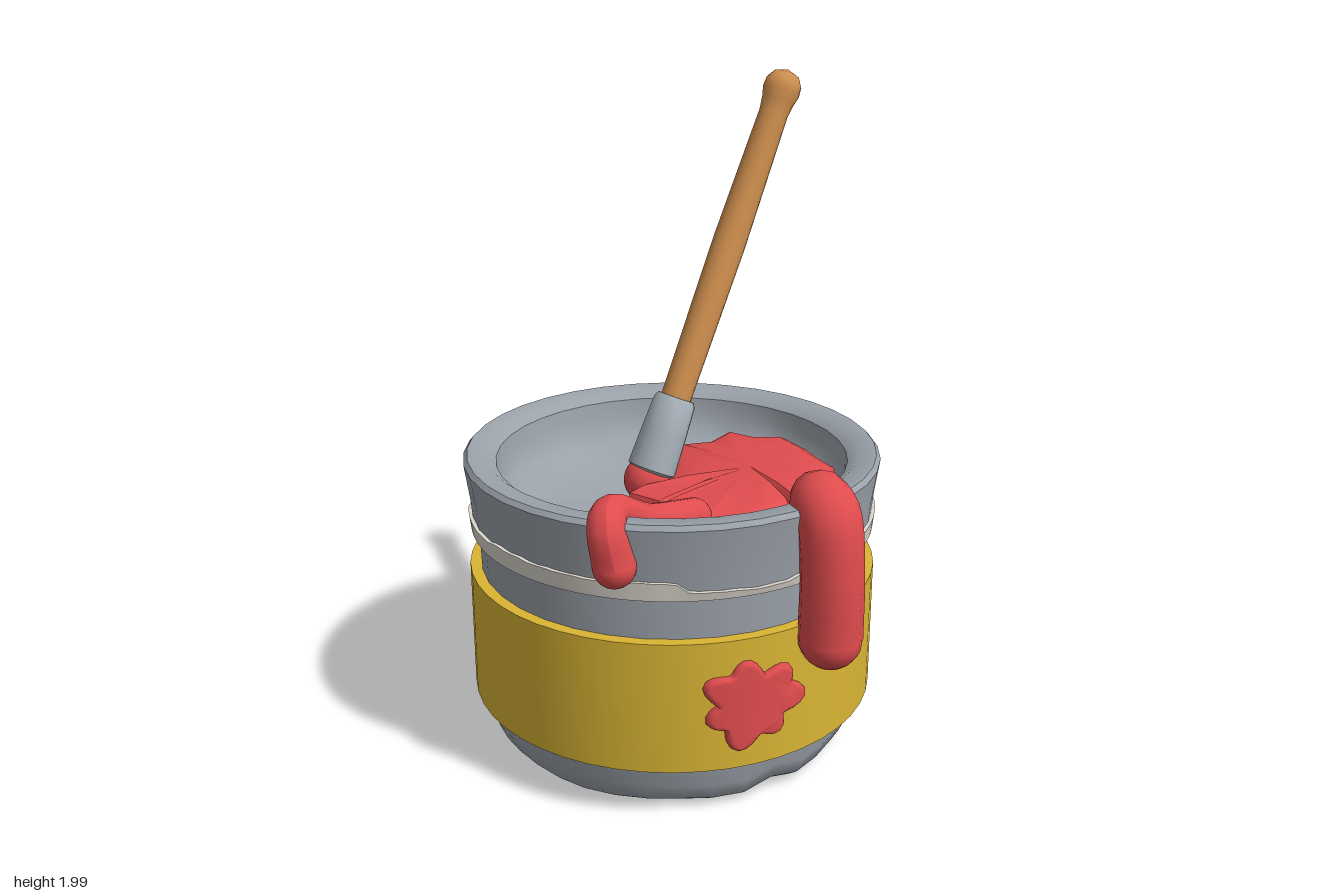
import * as THREE from 'three';
import { toCreasedNormals } from 'three/addons/utils/BufferGeometryUtils.js';

const mat = (name, color, side = THREE.FrontSide) => {
  const m = new THREE.MeshStandardMaterial({ color, side });
  m.name = name;
  return m;
};
const V = (x, y, z) => new THREE.Vector3(x, y, z);
const CZ = -0.05; // bucket axis in z

export function createModel() {
  const metal = mat('bucket grey', 0x9ba2aa);
  const ferruleGrey = mat('ferrule grey', 0xa6b0b8);
  const yellow = mat('label yellow', 0xdab534);
  const red = mat('paint red', 0xe04c4e, THREE.DoubleSide);
  const wood = mat('handle wood', 0xd0904f);
  const chip = mat('chipped white', 0xdcd7cd, THREE.DoubleSide);

  const model = new THREE.Group();
  const add = (name, geo, material, parent = model) => {
    const m = new THREE.Mesh(geo, material);
    m.name = name;
    parent.add(m);
    return m;
  };
  const lathe = (pts, seg) => new THREE.LatheGeometry(pts.map(p => new THREE.Vector2(...p)), seg);
  const edit = (geo, rule) => {
    const p = geo.attributes.position, v = V(0, 0, 0);
    for (let i = 0; i < p.count; i++) {
      v.fromBufferAttribute(p, i);
      rule(v, i);
      p.setXYZ(i, v.x, v.y, v.z);
    }
    geo.computeVertexNormals();
    return geo;
  };

  // Bucket: outer wall, flared lip and shallow inner floor, slightly dented
  const bucketGeo = edit(lathe([
    [0, 0.03], [0.3, 0.025], [0.51, 0.008], [0.55, 0.035], [0.575, 0.09], [0.585, 0.3], [0.588, 0.57],
    [0.592, 0.695], [0.606, 0.7], [0.614, 0.8], [0.63, 0.912], [0.618, 0.926], [0.56, 0.922], [0.532, 0.9],
    [0.525, 0.85], [0.5, 0.78], [0.44, 0.74], [0, 0.73],
  ], 36), v => {
    const a = Math.atan2(v.x, v.z), r = Math.hypot(v.x, v.z);
    const wave = Math.sin(a * 5 + 1) * Math.sin(a * 8);
    if (v.y < 0.12 && r > 0.4) {
      v.y += 0.022 * Math.max(0, wave);
      v.x *= 1 - 0.012 * Math.abs(wave);
      v.z *= 1 - 0.012 * Math.abs(wave);
    } else if (r > 0.4 && r < 0.51) v.y += 0.015 * wave;
  });
  add('bucket', toCreasedNormals(bucketGeo, 0.75), metal).position.z = CZ;

  // Label band
  add('labelBand', toCreasedNormals(lathe([
    [0.585, 0.172], [0.622, 0.172], [0.622, 0.574], [0.585, 0.574],
  ], 48), 0.6), yellow).position.z = CZ;

  // Chipped white line under the lip: heights run around the bucket from the front towards +x
  const heights = [0.02, 0.03, 0.035, 0.05, 0.055, 0.052, 0.05, 0, 0.012, 0.02, 0.035, 0.04,
    0.05, 0.03, 0.04, 0.05, 0.035, 0.05, 0.048, 0.055, 0.052, 0.05, 0.055, 0.025];
  const chipSeg = 120;
  const chipGeo = edit(lathe([[0.6, 0.699], [0.614, 0.701], [0.62, 0.75], [0.606, 0.752]], chipSeg), (v, i) => {
    const k = Math.floor(i / 4) % chipSeg, t = k / chipSeg * heights.length;
    const a = Math.floor(t), f = THREE.MathUtils.smoothstep(t - a, 0.5, 0.9);
    const h = THREE.MathUtils.lerp(heights[a], heights[(a + 1) % heights.length], f) + (k % 3) * 0.001;
    if (i % 4 > 1) v.y = 0.7 + h;
  });
  add('chippedLine', toCreasedNormals(chipGeo, 0.7), chip).position.z = CZ;

  // Ragged pool of paint, built as rings shrinking to its middle
  const outline = [[0.08, -0.37], [0.12, -0.34], [0.25, -0.345], [0.33, -0.365], [0.4, -0.31], [0.47, -0.22],
    [0.505, -0.12], [0.485, -0.03], [0.51, 0.06], [0.45, 0.18], [0.37, 0.28], [0.27, 0.34], [0.25, 0.27],
    [0.15, 0.31], [0.04, 0.31], [0, 0.25], [-0.12, 0.3], [-0.29, 0.195], [-0.1, 0.16], [-0.13, 0.09],
    [-0.07, 0.04], [-0.15, -0.05], [-0.06, -0.07], [0.03, -0.16], [0.04, -0.27]];
  const rings = [[1, 0.74], [0.97, 0.785], [0.85, 0.805], [0.5, 0.82], [0, 0.825]];
  const n = outline.length, pos = [], idx = [];
  rings.forEach(([s, y], r) => outline.forEach(([x, z], i) => {
    const px = 0.24 + (x - 0.24) * s;
    pos.push(px, y + px * 0.06 + (r && s ? (i % 2) * 0.016 * s : 0), z * s);
    if (r) {
      const j = (i + 1) % n, a = (r - 1) * n, b = r * n;
      idx.push(a + i, b + i, a + j, a + j, b + i, b + j);
    }
  }));
  const pool = new THREE.BufferGeometry();
  pool.setAttribute('position', new THREE.Float32BufferAttribute(pos, 3));
  pool.setIndex(idx);
  add('paintPool', toCreasedNormals(pool, 0.5), red);

  // Drips: tubes of changing thickness with rounded ends; each point is x, y, z, radius
  const drip = (name, pts) => {
    const g = new THREE.Group();
    g.name = name;
    const curve = new THREE.CatmullRomCurve3(pts.map(p => V(p[0], p[1], p[2])));
    const seg = 32, sides = 14;
    const geo = new THREE.TubeGeometry(curve, seg, 1, sides);
    edit(geo, (v, i) => {
      const u = Math.floor(i / (sides + 1)) / seg;
      const c = curve.getPointAt(u), t = curve.getUtoTmapping(u) * (pts.length - 1);
      const k = Math.min(Math.floor(t), pts.length - 2);
      v.sub(c).multiplyScalar(THREE.MathUtils.lerp(pts[k][3], pts[k + 1][3], t - k)).add(c);
    });
    add(name + 'Body', geo, red, g);
    for (const p of [pts[0], pts[pts.length - 1]])
      add(name + 'End', new THREE.SphereGeometry(p[3], 16, 12), red, g).position.set(p[0], p[1], p[2]);
    model.add(g);
  };
  drip('largeDrip', [[0.27, 0.82, 0.32, 0.015], [0.235, 0.89, 0.42, 0.025], [0.21, 0.93, 0.5, 0.085],
    [0.212, 0.9, 0.56, 0.092], [0.215, 0.75, 0.59, 0.09], [0.217, 0.54, 0.59, 0.092]]);
  drip('smallDrip', [[-0.04, 0.8, 0.21, 0.055], [-0.22, 0.86, 0.31, 0.045], [-0.35, 0.925, 0.375, 0.052],
    [-0.385, 0.91, 0.43, 0.055], [-0.37, 0.8, 0.445, 0.062]]);

  // Paint splat curved around the front of the band
  const splat = [];
  for (let i = 0; i < 64; i++) {
    const a = i / 64 * Math.PI * 2;
    const r = 0.112 + 0.019 * Math.cos(a * 7 + 0.6) + 0.012 * Math.sin(a * 3 + 1);
    splat.push(new THREE.Vector2(-0.01 + r * 1.12 * Math.cos(a), 0.375 + r * 0.95 * Math.sin(a)));
  }
  const splatGeo = new THREE.ExtrudeGeometry(new THREE.Shape(splat), {
    depth: 0.012, bevelThickness: 0.012, bevelSize: 0.012, bevelSegments: 3,
  });
  edit(splatGeo, v => { v.z += Math.sqrt(0.62 ** 2 - v.x ** 2) + CZ; });
  add('paintSplat', toCreasedNormals(splatGeo, 0.8), red);

  // Brush, built upright from the ferrule's top and then leaned over
  const brush = new THREE.Group();
  brush.name = 'brush';
  const base = V(0.058, 1.035, -0.158), tip = V(0.465, 1.942, -0.29);
  const axis = tip.clone().sub(base), len = axis.length();
  brush.position.copy(base);
  brush.quaternion.setFromUnitVectors(V(0, 1, 0), axis.normalize());
  const handle = lathe([[0, -0.04], [0.047, -0.04], [0.048, 0.1], [0.052, len * 0.5], [0.045, len - 0.08],
    [0.05, len - 0.04], [0.058, len - 0.01], [0.056, len + 0.02], [0.04, len + 0.045], [0, len + 0.06]], 16);
  add('handle', toCreasedNormals(handle, 0.9), wood, brush);
  const ferrule = lathe([[0.06, -0.24], [0.074, -0.23], [0.07, -0.12], [0.064, -0.01], [0.056, 0.004], [0, 0.004]], 16);
  add('ferrule', toCreasedNormals(ferrule, 0.7), ferruleGrey, brush).scale.z = 1.14;
  const bristles = add('bristles', new THREE.SphereGeometry(0.075, 16, 12), red, brush);
  bristles.position.y = -0.265;
  model.add(brush);

  return model;
}
